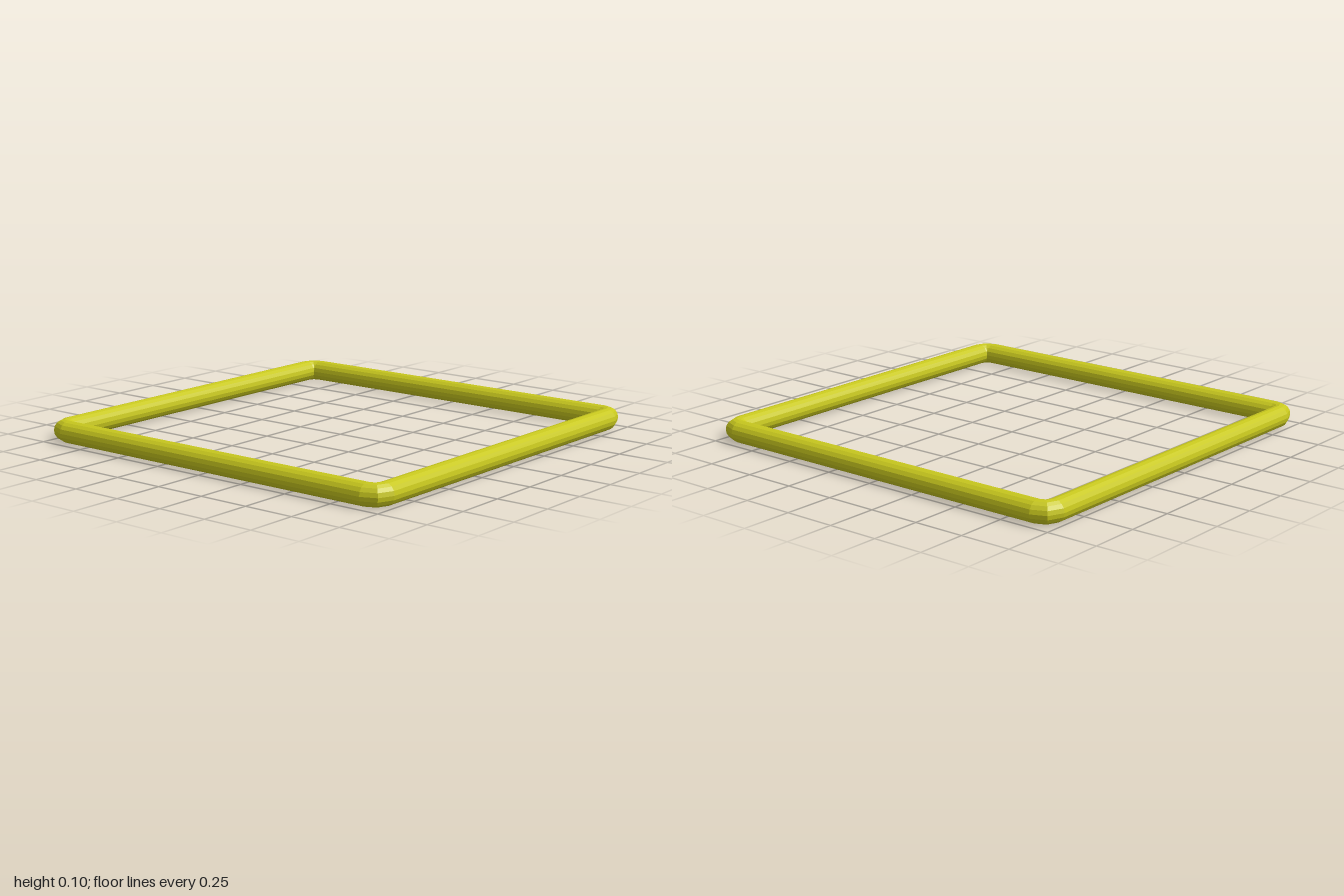
import * as THREE from 'three';

const R = 0.0525;      // tube radius, also the bend radius (inner corners are sharp)
const HX = 0.895;      // bend centres
const HZ = 0.885;
const SIDES = 16;
const BENDS = 2;       // segments per corner

// Closed round tube swept around a rectangle with faceted corners
function frameGeometry() {
  const positions = [], indices = [];
  const corners = [[1, 1], [-1, 1], [-1, -1], [1, -1]];
  corners.forEach(([sx, sz], c) => {
    for (let s = 0; s <= BENDS; s++) {
      const a = (c + s / BENDS) * Math.PI / 2;
      for (let j = 0; j < SIDES; j++) {
        const t = j / SIDES * Math.PI * 2;
        const d = R + R * Math.cos(t);
        positions.push(sx * HX + d * Math.cos(a), R + R * Math.sin(t), sz * HZ + d * Math.sin(a));
      }
    }
  });
  const rings = corners.length * (BENDS + 1);
  for (let i = 0; i < rings; i++) {
    const p = i * SIDES, q = ((i + 1) % rings) * SIDES;
    for (let j = 0; j < SIDES; j++) {
      const k = (j + 1) % SIDES;
      indices.push(p + j, p + k, q + j, p + k, q + k, q + j);
    }
  }
  const geometry = new THREE.BufferGeometry();
  geometry.setAttribute('position', new THREE.Float32BufferAttribute(positions, 3));
  geometry.setIndex(indices);
  geometry.computeVertexNormals();
  return geometry;
}

export function createModel() {
  const group = new THREE.Group();
  group.name = 'tubeFrame';
  const material = new THREE.MeshStandardMaterial({ color: 0xc8c81e, flatShading: true });
  const frame = new THREE.Mesh(frameGeometry(), material);
  frame.name = 'rectangularTube';
  group.add(frame);
  return group;
}
